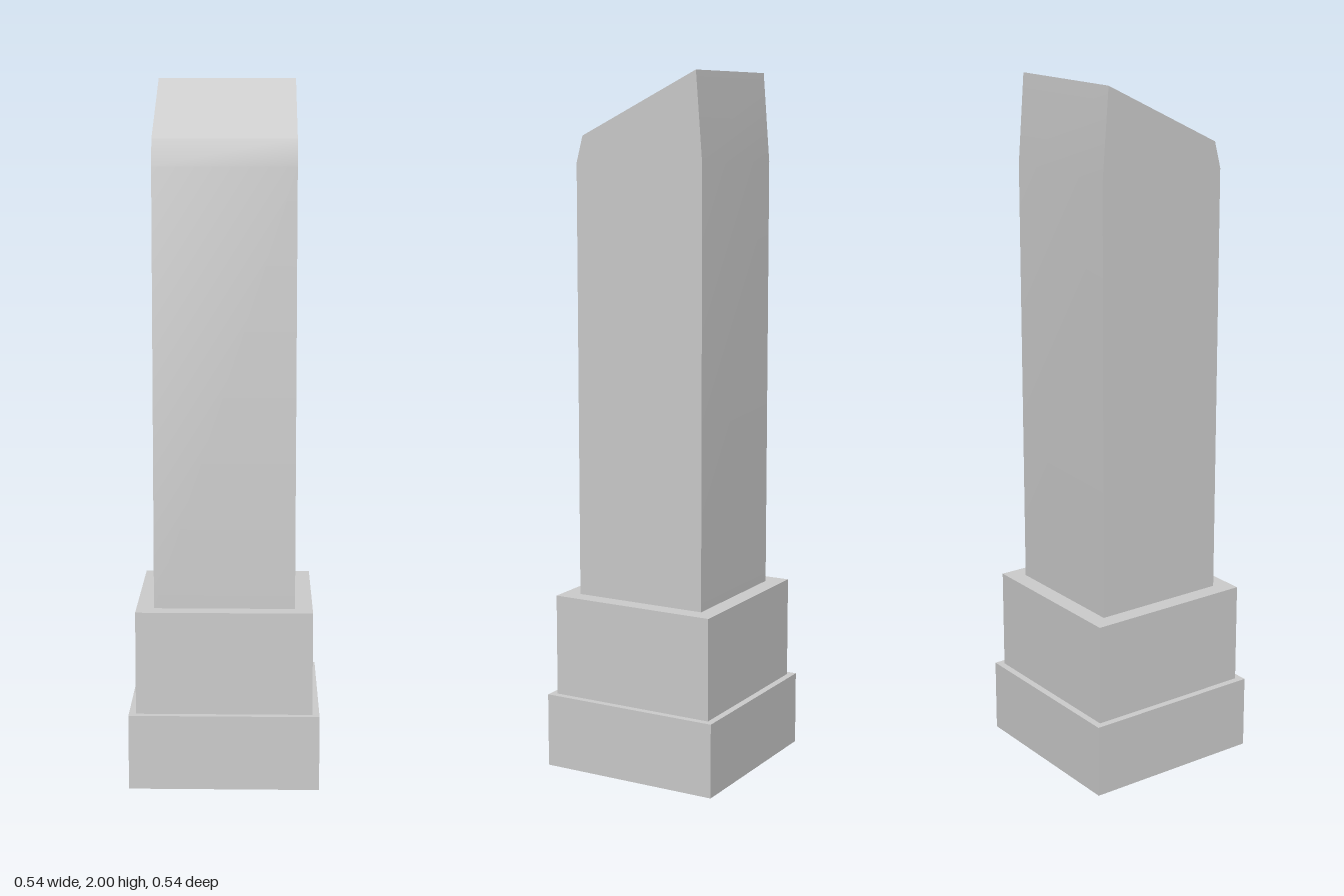
import * as THREE from 'three';
import { toCreasedNormals } from 'three/addons/utils/BufferGeometryUtils.js';

export function createModel() {
  const model = new THREE.Group();
  model.name = 'pillar';
  const material = new THREE.MeshStandardMaterial({ color: 0xcccccc });

  function add(name, geometry) {
    const mesh = new THREE.Mesh(geometry, material);
    mesh.name = name;
    model.add(mesh);
  }

  // Square block standing between two heights
  function block(name, width, bottom, top) {
    const geometry = new THREE.BoxGeometry(width, top - bottom, width);
    add(name, geometry.translate(0, (bottom + top) / 2, 0));
  }

  // Stepped pedestal
  block('lowerPlinth', 0.54, 0, 0.215);
  block('upperPlinth', 0.5, 0.215, 0.51);

  // Shaft: side profile in (z, y) with a slanted top and tapered shoulders
  const profile = new THREE.Shape([
    [-0.2, 0.51], [0.2, 0.51], [0.2, 1.75], [0.18, 1.825], [-0.18, 2], [-0.2, 1.75],
  ].map(([z, y]) => new THREE.Vector2(z, y)));
  const shaft = new THREE.ExtrudeGeometry(profile, { depth: 0.4, bevelEnabled: false });
  shaft.translate(0, 0, -0.2).rotateY(-Math.PI / 2);
  // The shoulders blend softly into the shaft; all other edges stay sharp
  add('shaft', toCreasedNormals(shaft, THREE.MathUtils.degToRad(20)));

  return model;
}
